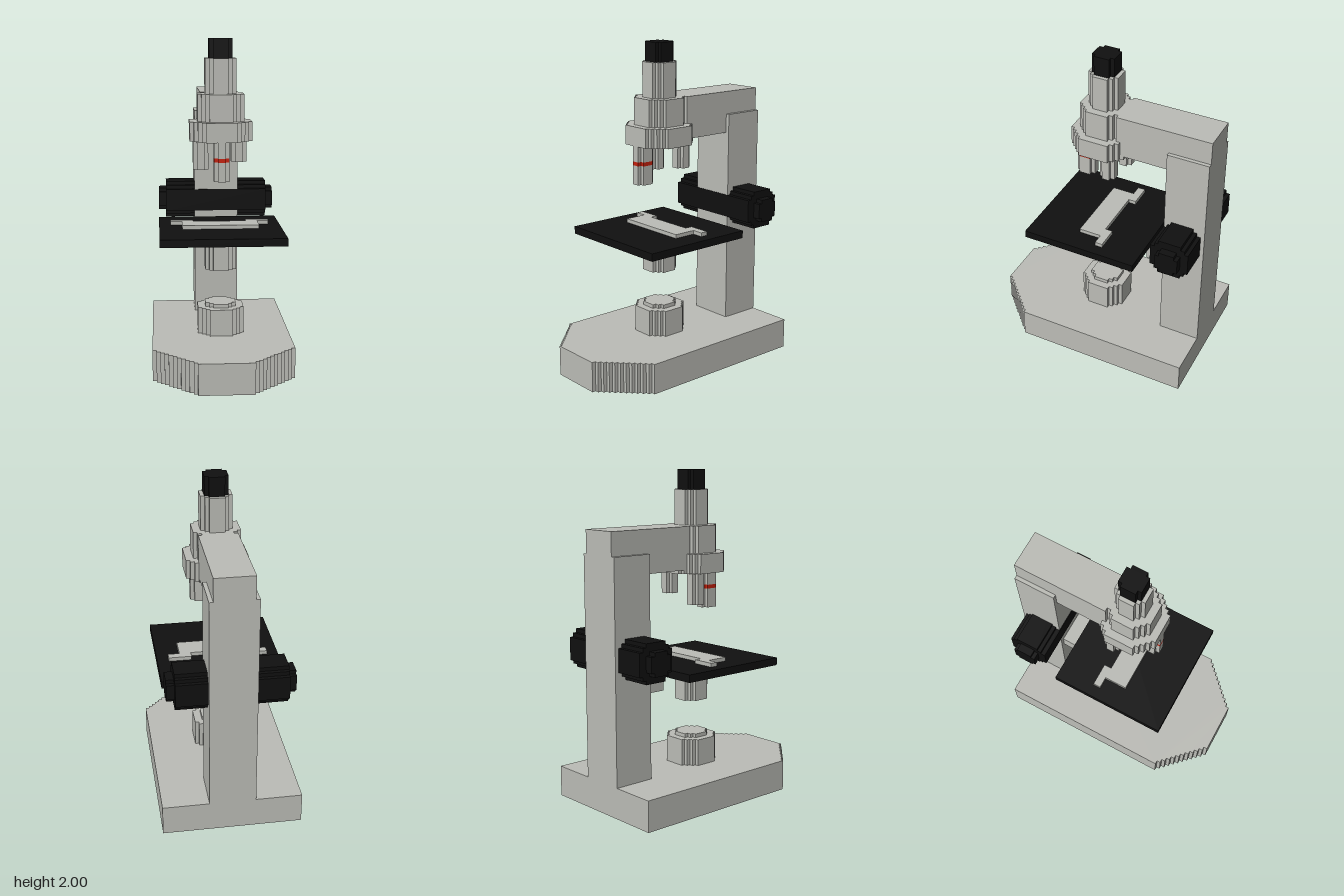
import * as THREE from 'three';

const UNIT = 2 / 85; // edge of one grid cell; all sizes below are in cells

// Half-widths, row by row, of a stepped octagon of radius r
function octagonRows(r) {
  const limit = Math.ceil(1.5 * r) - 1;
  const half = Array.from({ length: r }, (_, i) => Math.min(r, limit - i));
  return [...half].reverse().concat(half);
}

// Symmetric stepped outline; row i covers start + i .. start + i + 1
function steppedShape(rows, start) {
  const right = [], left = [];
  rows.forEach((w, i) => {
    for (const t of [start + i, start + i + 1]) {
      right.push(new THREE.Vector2(w, -t));
      left.push(new THREE.Vector2(-w, -t));
    }
  });
  return new THREE.Shape([...left, ...right.reverse()]);
}

export function createModel() {
  const grey = new THREE.MeshStandardMaterial({ name: 'lightGrey', color: 0xbcbdb7 });
  const black = new THREE.MeshStandardMaterial({ name: 'black', color: 0x101010 });
  const red = new THREE.MeshStandardMaterial({ name: 'red', color: 0xc8200c });

  const model = new THREE.Group();
  model.name = 'microscope';

  function add(name, geometry, material) {
    const mesh = new THREE.Mesh(geometry, material);
    mesh.name = name;
    model.add(mesh);
    return mesh;
  }
  function box(name, material, x0, x1, y0, y1, z0, z1) {
    const mesh = add(name, new THREE.BoxGeometry(x1 - x0, y1 - y0, z1 - z0), material);
    mesh.position.set((x0 + x1) / 2, (y0 + y1) / 2, (z0 + z1) / 2);
    return mesh;
  }
  // Upright prism with a stepped footprint
  function prism(name, material, rows, zStart, y0, y1, x = 0) {
    const geometry = new THREE.ExtrudeGeometry(steppedShape(rows, zStart), { depth: y1 - y0, bevelEnabled: false });
    geometry.rotateX(-Math.PI / 2);
    add(name, geometry, material).position.set(x, y0, 0);
  }
  function drum(name, material, r, y0, y1, x = 0, z = 1) {
    prism(name, material, octagonRows(r), z - r, y0, y1, x);
  }
  // Stepped drum lying along x
  function crossDrum(name, material, r, x0, x1) {
    const geometry = new THREE.ExtrudeGeometry(steppedShape(octagonRows(r), -r), { depth: x1 - x0, bevelEnabled: false });
    geometry.rotateY(Math.PI / 2);
    add(name, geometry, material).position.set(x0, 40, -23);
  }

  // Base with a tapered front
  box('baseBlock', grey, -18, 18, 0, 8, -29, 18);
  prism('baseNose', grey, Array.from({ length: 11 }, (_, i) => 17 - i), 18, 0, 8);

  // Column and upper arm
  box('column', grey, -6, 6, 8, 65, -29, -18);
  box('arm', grey, -5, 5, 60, 71, -29, -4);

  // Lamp on the base
  drum('lampHousing', grey, 6, 8, 15);
  drum('lampLens', grey, 4, 15, 16);

  // Stage with its bracket, condenser, slide and clips
  box('stage', black, -16, 16, 34, 36, -14, 17);
  box('stageBracket', grey, -5, 5, 30, 34, -18, -13);
  drum('condenser', grey, 4, 25, 34);
  box('slide', grey, -10, 10, 36, 37, -2, 4);
  for (const [side, x] of [['right', -13], ['left', 7]]) {
    box(side + 'Clip', grey, x, x + 6, 36, 37, -4, -2);
  }

  // Focus knobs on a drum that shows flush in the column front
  crossDrum('focusDrum', black, 5, -14, 14);
  crossDrum('rightFineKnob', black, 3, -16, -14);
  crossDrum('leftFineKnob', black, 3, 14, 16);
  box('focusDrumFace', black, -14, 14, 37, 43, -18.2, -17.85);

  // Nosepiece, tube and eyepiece
  drum('nosepiece', grey, 8, 59, 64);
  drum('lowerTube', grey, 6, 64, 71);
  drum('upperTube', grey, 4, 71, 80);
  drum('eyepiece', black, 3, 80, 85);

  // Objectives
  const frontRows = [1, 2, 2, 2, 1];
  prism('frontObjectiveTip', grey, frontRows, 4, 49, 54);
  prism('frontObjectiveBand', red, frontRows, 4, 54, 55);
  prism('frontObjective', grey, frontRows, 4, 55, 59);
  drum('rightObjective', grey, 2, 51, 59, -5, -2);
  drum('leftObjective', grey, 2, 53, 59, 5, -2);

  model.scale.setScalar(UNIT);
  const group = new THREE.Group();
  group.add(model);
  return group;
}
